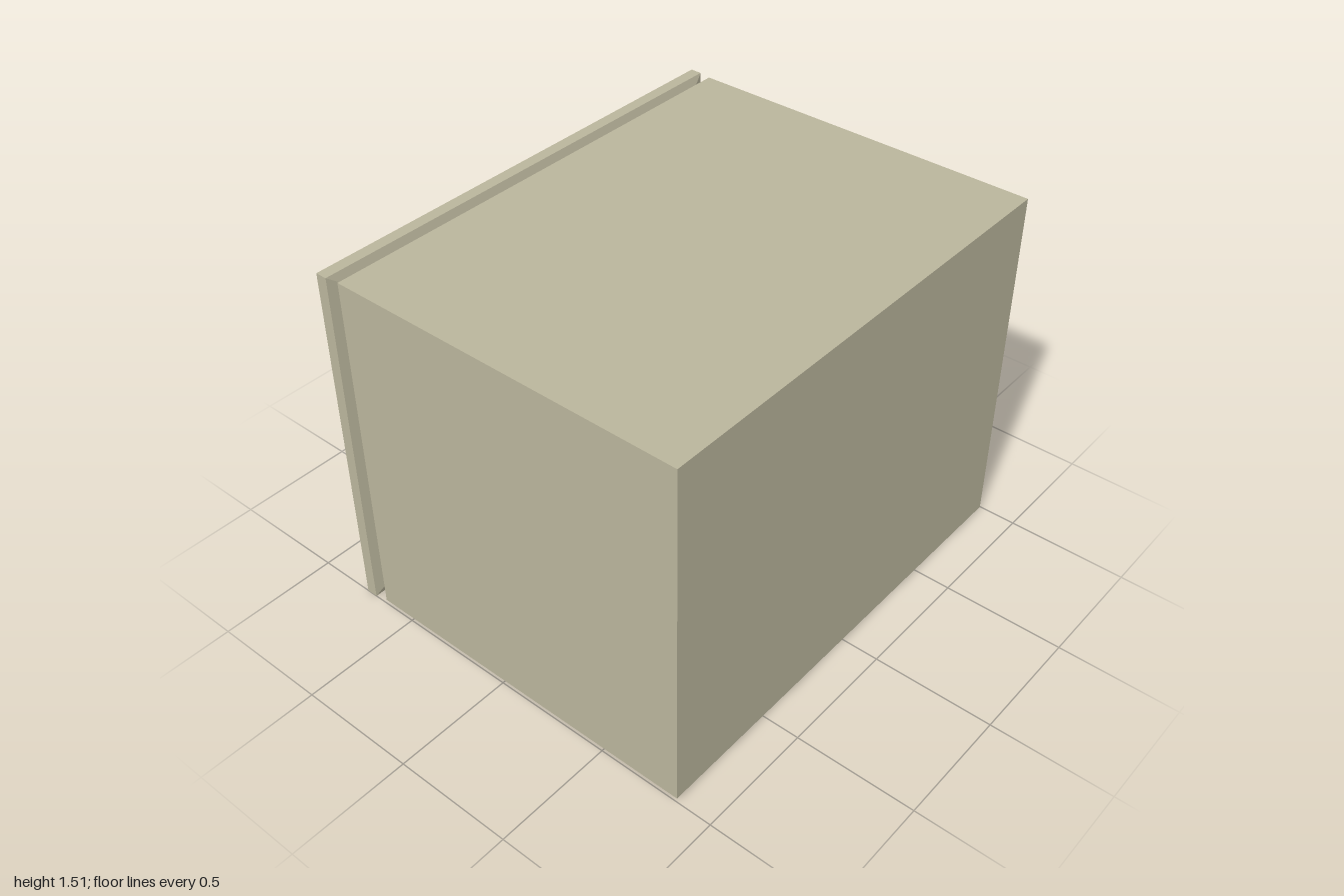
import * as THREE from 'three';

const cream = new THREE.MeshStandardMaterial({ color: 0xbab59c, flatShading: true });
const brown = new THREE.MeshStandardMaterial({ color: 0x402a20, flatShading: true });
const dark = new THREE.MeshStandardMaterial({ color: 0x2e2222, flatShading: true });

// Closed solid from rectangular sections stacked along x: [x, yMin, yMax, zMin, zMax]
function loft(sections) {
  const rings = sections.map(([x, y0, y1, z0, z1]) =>
    [[x, y0, z0], [x, y1, z0], [x, y1, z1], [x, y0, z1]]);
  const pos = [];
  const quad = (a, b, c, d) => pos.push(...a, ...b, ...c, ...a, ...c, ...d);
  for (let i = 0; i < rings.length - 1; i++) {
    for (let k = 0; k < 4; k++) {
      const n = (k + 1) % 4;
      quad(rings[i][k], rings[i][n], rings[i + 1][n], rings[i + 1][k]);
    }
  }
  const [s, e] = [rings[0], rings[rings.length - 1]];
  quad(s[3], s[2], s[1], s[0]);
  quad(...e);
  const geo = new THREE.BufferGeometry();
  geo.setAttribute('position', new THREE.Float32BufferAttribute(pos, 3));
  geo.computeVertexNormals();
  return geo;
}

export function createModel() {
  const group = new THREE.Group();
  const add = (name, geo, mat) => {
    const mesh = new THREE.Mesh(geo, mat);
    mesh.name = name;
    group.add(mesh);
    return mesh;
  };

  // Cabinet with a slightly flared opening edge
  add('cabinet', loft([
    [-0.664, 0.065, 1.45, -0.925, 0.92],
    [-0.658, 0.003, 1.507, -0.995, 0.99],
    [0.843, 0.003, 1.507, -0.995, 0.99],
  ]), cream);

  // Recessed seal between cabinet and door
  add('doorSeal', loft([
    [-0.69, 0.065, 1.45, -0.925, 0.92],
    [-0.66, 0.065, 1.45, -0.925, 0.92],
  ]), cream);

  // Door slab with a bevelled inner side
  add('door', loft([
    [-0.755, 0, 1.51, -1, 1],
    [-0.707, 0, 1.51, -1, 1],
    [-0.687, 0.065, 1.45, -0.925, 0.92],
  ]), cream);

  // Brown facing on the outside of the door
  const facing = add('doorFacing', new THREE.PlaneGeometry(2, 1.51), brown);
  facing.rotation.y = -Math.PI / 2;
  facing.position.set(-0.7565, 0.755, 0);

  // T-shaped handle: stem and grip
  const handle = new THREE.Group();
  handle.name = 'handle';
  const stem = add('handleStem', new THREE.BoxGeometry(0.047, 0.41, 0.05), dark);
  stem.position.set(-0.7785, 0.335, 0.772);
  const grip = add('handleGrip', new THREE.BoxGeometry(0.045, 0.41, 0.1), dark);
  grip.position.set(-0.8225, 0.335, 0.772);
  handle.add(stem, grip);
  group.add(handle);

  return group;
}
